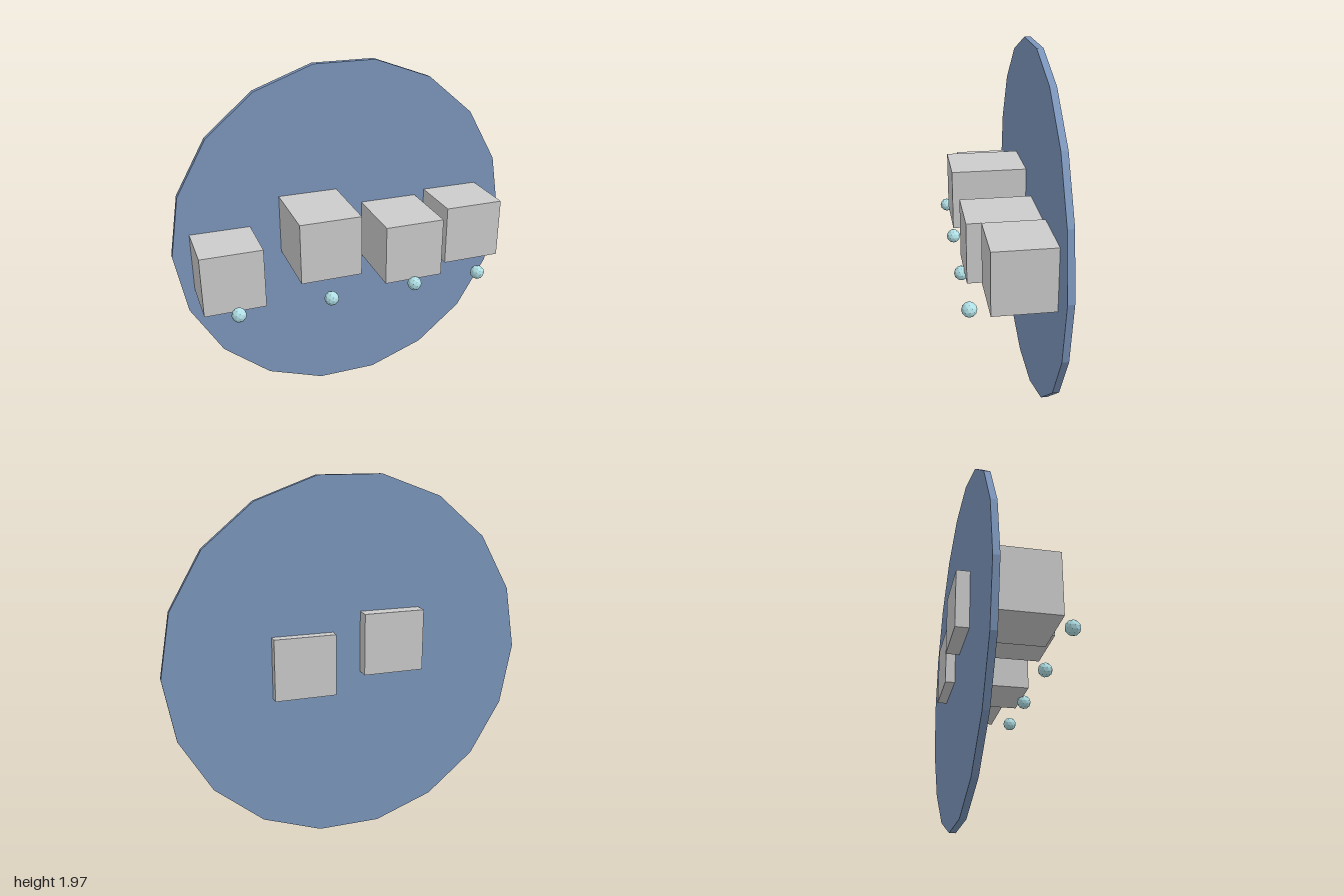
import * as THREE from 'three';

const material = (color) => new THREE.MeshStandardMaterial({ color, flatShading: true });

export function createModel() {
  const group = new THREE.Group();
  const blue = material(0x7c96bc);
  const grey = material(0xcccccc);
  const paleBlue = material(0xb0e0e6);

  const add = (name, geometry, mat, x, y, z) => {
    const mesh = new THREE.Mesh(geometry, mat);
    mesh.name = name;
    mesh.position.set(x, y, z);
    group.add(mesh);
  };

  // Upright 18-sided disc with corners at its far left and right
  const disc = new THREE.CylinderGeometry(1, 1, 0.035, 18, 1, false, Math.PI / 2);
  disc.rotateX(Math.PI / 2);
  add('disc', disc, blue, 0, 0.985, -0.187);

  // Blocks set into the disc: the middle two pass right through it
  const size = 0.335;
  const blocks = [
    { x: -0.73, y: 0.937, back: -0.19, front: 0.145 },
    { x: -0.225, y: 1.092, back: -0.28, front: 0.247 },
    { x: 0.262, y: 0.99, back: -0.258, front: 0.222 },
    { x: 0.656, y: 1.017, back: -0.184, front: 0.151 },
  ];
  const ball = new THREE.IcosahedronGeometry(0.04, 1);
  blocks.forEach(({ x, y, back, front }, i) => {
    const block = new THREE.BoxGeometry(size, size, front - back);
    add(`block${i + 1}`, block, grey, x, y, (front + back) / 2);
    // Small faceted ball in front of each block
    add(`ball${i + 1}`, ball, paleBlue, x, 0.8, 0.235);
  });

  return group;
}
